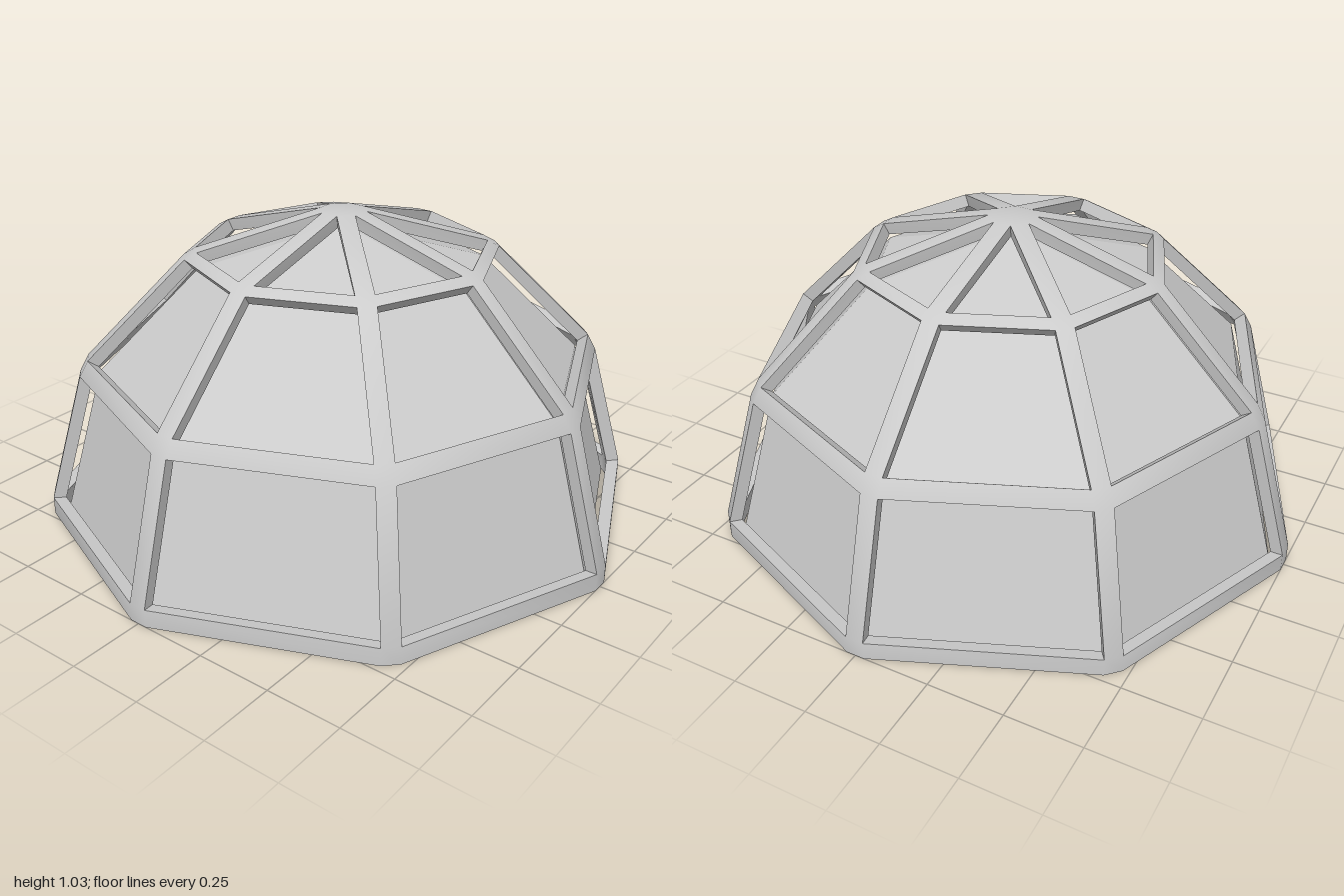
import * as THREE from 'three';
import { toCreasedNormals } from 'three/addons/utils/BufferGeometryUtils.js';

const SIDES = 8;
const STEP = (Math.PI * 2) / SIDES;
const TAN = Math.tan(STEP / 2);

// Rib profiles [radius, height] from the floor to the apex
const OUTER = [[1, 0], [1, 0.06], [0.875, 0.505], [0.845, 0.56], [0.515, 0.893], [0.475, 0.915], [0.072, 1.03]];
const INNER = [[0.958, 0], [0.958, 0.054], [0.836, 0.489], [0.811, 0.535], [0.49, 0.861], [0.46, 0.876], [0.06, 0.988]];
const LAST = OUTER.length - 1;

// Corner of rib i: side -1 or +1, profile level j
function corner(profile, halfWidth, i, side, j) {
  const [r, y] = profile[j];
  const w = side * (j === LAST ? r * TAN : halfWidth);
  const a = (i % SIDES) * STEP;
  return [r * Math.cos(a) - w * Math.sin(a), y, r * Math.sin(a) + w * Math.cos(a)];
}
const outer = (p) => corner(OUTER, 0.03, ...p);
const inner = (p) => corner(INNER, 0.022, ...p);

// Lattice of flat ribs and rings around open bays
function frameGeometry() {
  const positions = [];
  const tri = (a, b, c) => positions.push(...a, ...b, ...c);
  const quad = (a, b, c, d) => { tri(a, b, c); tri(a, c, d); };
  const strip = (a, b, c, d) => {
    quad(outer(a), outer(b), outer(c), outer(d));
    quad(inner(d), inner(c), inner(b), inner(a));
  };

  for (let i = 0; i < SIDES; i++) {
    // rib
    for (let j = 0; j < LAST; j++) strip([i, -1, j], [i, -1, j + 1], [i, 1, j + 1], [i, 1, j]);

    // ring segments
    for (const j of [0, 2, 4]) strip([i, 1, j], [i, 1, j + 1], [i + 1, -1, j + 1], [i + 1, -1, j]);

    // side walls of the bays
    for (const j of [1, 3, 5]) {
      const loop = [[i, 1, j], [i + 1, -1, j], [i + 1, -1, j + 1]];
      if (j + 1 < LAST) loop.push([i, 1, j + 1]);
      loop.forEach((p, k) => {
        const q = loop[(k + 1) % loop.length];
        quad(outer(p), inner(p), inner(q), outer(q));
      });
    }

    // underside of the base ring
    for (const [p, q] of [[[i, -1, 0], [i, 1, 0]], [[i, 1, 0], [i + 1, -1, 0]]]) {
      quad(outer(p), outer(q), inner(q), inner(p));
    }

    // apex hub
    const p = [i, -1, LAST], q = [i, 1, LAST];
    tri(outer(p), [0, OUTER[LAST][1], 0], outer(q));
    tri(inner(q), [0, INNER[LAST][1], 0], inner(p));
  }

  const geometry = new THREE.BufferGeometry();
  geometry.setAttribute('position', new THREE.Float32BufferAttribute(positions, 3));
  return toCreasedNormals(geometry, 0.85);
}

export function createModel() {
  const group = new THREE.Group();
  group.name = 'panelledDome';

  const frame = new THREE.Mesh(frameGeometry(), new THREE.MeshStandardMaterial({ color: 0xcccccc }));
  frame.name = 'latticeFrame';
  group.add(frame);

  // Faceted panels set just inside the frame
  const profile = [[0.95, 0.01], [0.812, 0.508], [0.471, 0.853], [0, 0.984]];
  const shell = new THREE.Mesh(
    new THREE.LatheGeometry(profile.map(([r, y]) => new THREE.Vector2(r, y)), SIDES),
    new THREE.MeshStandardMaterial({ color: 0xcccccc, flatShading: true, side: THREE.DoubleSide })
  );
  shell.name = 'panelShell';
  group.add(shell);

  return group;
}
